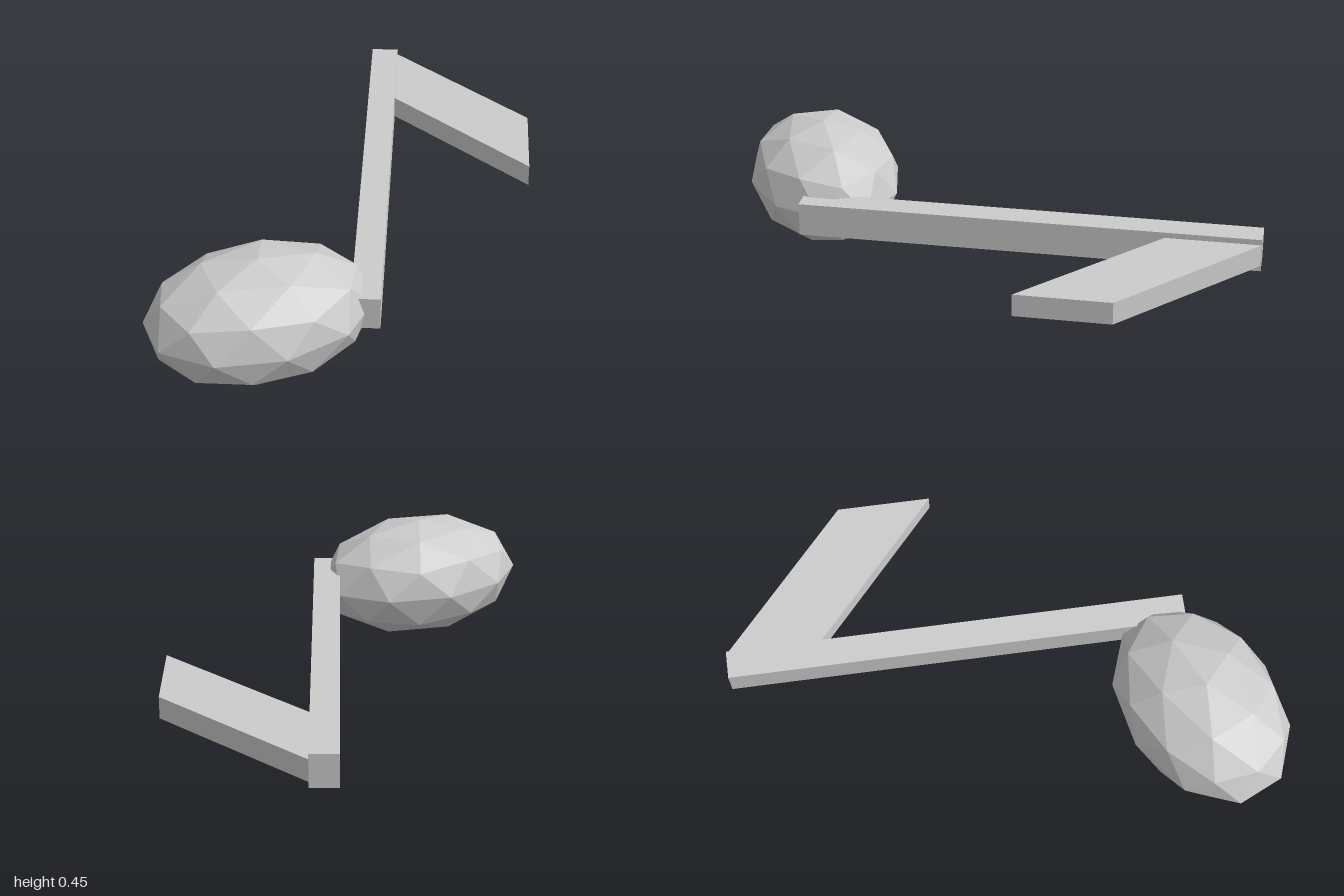
import * as THREE from 'three';

export function createModel() {
  const model = new THREE.Group();
  const grey = new THREE.MeshStandardMaterial({ color: 0xcccccc, flatShading: true });
  grey.name = 'light grey';

  const add = (name, geometry) => {
    const mesh = new THREE.Mesh(geometry, grey);
    mesh.name = name;
    model.add(mesh);
    return mesh;
  };

  // Note head: faceted ball with a vertex at the top, squashed and turned
  const ball = new THREE.IcosahedronGeometry(1, 1);
  ball.rotateZ(-Math.atan(2 / (1 + Math.sqrt(5))));
  ball.scale(0.404, 0.224, 0.285);
  ball.rotateY(THREE.MathUtils.degToRad(24.5));
  ball.computeVertexNormals();
  add('noteHead', ball).position.set(-0.274, 0.224, 0.691);

  // Stem: long square bar lying flat
  add('stem', new THREE.BoxGeometry(0.102, 0.123, 1.685)).position.set(0.088, 0.227, -0.1575);

  // Flag: slanted slab at the far end of the stem, outlined as (x, -z)
  const outline = new THREE.Shape([
    new THREE.Vector2(0.137, 1.0),
    new THREE.Vector2(0.137, 0.657),
    new THREE.Vector2(0.657, 0.192),
    new THREE.Vector2(0.657, 0.535),
  ]);
  const slab = new THREE.ExtrudeGeometry(outline, { depth: 0.082, bevelEnabled: false });
  slab.rotateX(-Math.PI / 2);
  add('flag', slab).position.y = 0.186;

  return model;
}
